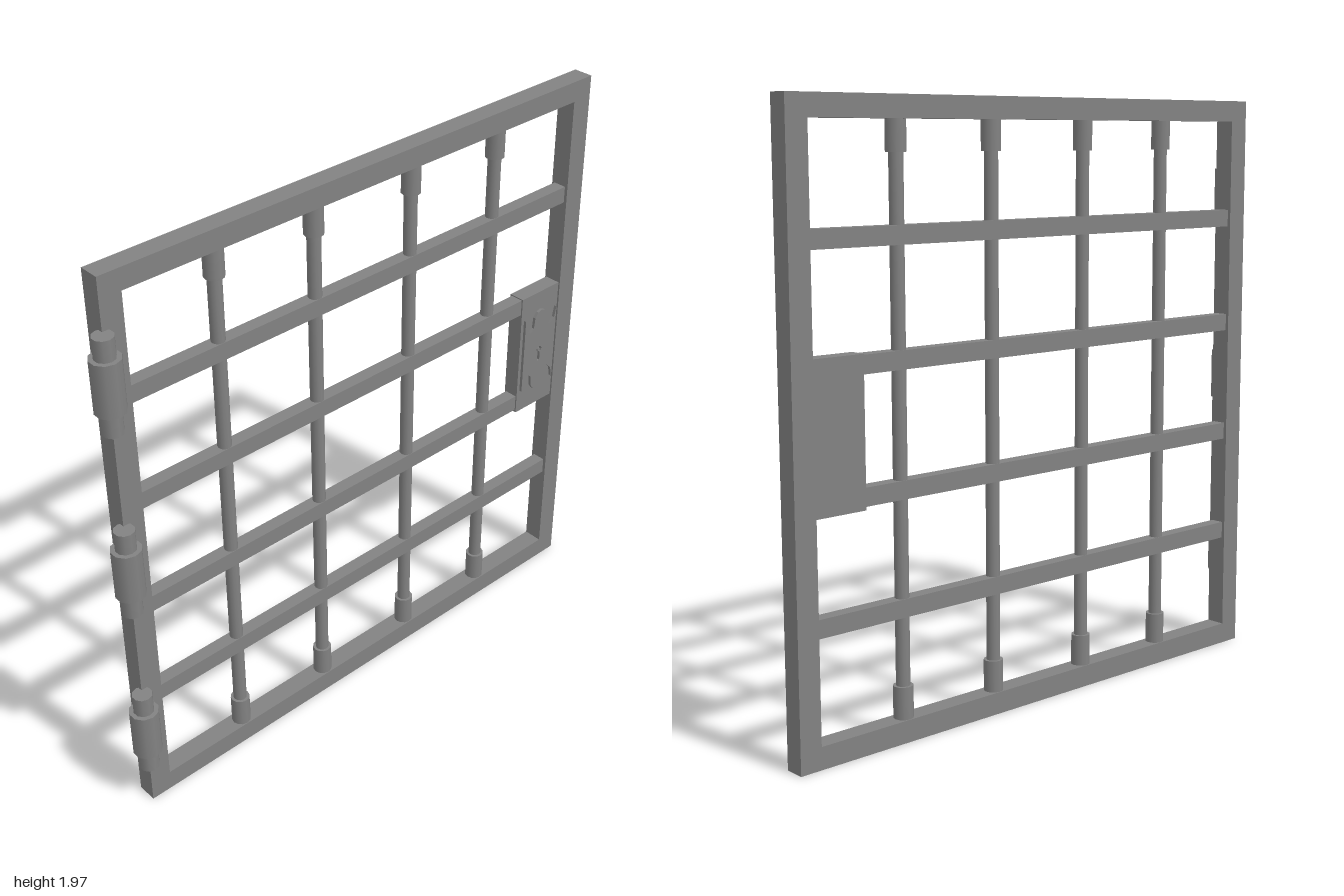
import * as THREE from 'three';

const material = new THREE.MeshStandardMaterial({ color: 0x828282 });

function add(parent, name, geometry, x = 0, y = 0, z = 0) {
  const mesh = new THREE.Mesh(geometry, material);
  mesh.name = name;
  mesh.position.set(x, y, z);
  parent.add(mesh);
  return mesh;
}

function rectangle(target, x0, y0, x1, y1) {
  target.moveTo(x0, y0);
  target.lineTo(x1, y0);
  target.lineTo(x1, y1);
  target.lineTo(x0, y1);
  target.closePath();
  return target;
}

const extrude = (shape, depth) =>
  new THREE.ExtrudeGeometry(shape, { depth, bevelEnabled: false, curveSegments: 6 });

// Thin plate with wavy top and bottom edges and a keyhole, centred on the origin
function escutcheonGeometry() {
  const edge = [[0.078, 0.145], [0.07, 0.105], [0.05, 0.086], [0.034, 0.1],
    [0.03, 0.14], [0.016, 0.158], [0, 0.163]];
  const half = [...edge, ...edge.slice(0, -1).reverse().map(([x, y]) => [-x, y])];
  const points = [...half, ...half.map(([x, y]) => [-x, -y])];
  const shape = new THREE.Shape(points.map(([x, y]) => new THREE.Vector2(x, y)));
  const keyhole = new THREE.Path();
  keyhole.moveTo(-0.006, -0.045);
  keyhole.lineTo(0.006, -0.045);
  keyhole.lineTo(0.006, -0.012);
  keyhole.absarc(0, 0, 0.0134, -1.1, Math.PI + 1.1, false);
  keyhole.lineTo(-0.006, -0.045);
  shape.holes.push(keyhole);
  return extrude(shape, 0.01);
}

export function createModel() {
  const gate = new THREE.Group();
  gate.name = 'barredGate';

  // Outer frame
  const frame = rectangle(new THREE.Shape(), -0.944, 0, 1, 1.965);
  frame.holes.push(rectangle(new THREE.Path(), -0.87, 0.072, 0.925, 1.895));
  add(gate, 'frame', extrude(frame, 0.068), 0, 0, -0.066);

  // Flat cross bars
  for (const y of [0.425, 0.793, 1.188, 1.558]) {
    add(gate, 'crossBar', new THREE.BoxGeometry(1.81, 0.058, 0.046), 0.028, y, -0.032);
  }

  // Round upright bars with a socket at each end
  for (const x of [-0.54, -0.171, 0.223, 0.593]) {
    const upright = new THREE.Group();
    upright.name = 'uprightBar';
    upright.position.set(x, 0, -0.032);
    add(upright, 'rod', new THREE.CylinderGeometry(0.0225, 0.0225, 1.83, 12), 0, 0.983);
    for (const y of [0.122, 1.853]) {
      add(upright, 'socket', new THREE.CylinderGeometry(0.032, 0.032, 0.108, 12), 0, y);
    }
    gate.add(upright);
  }

  // Lock box with keyhole plate and guide pin
  const lock = new THREE.Group();
  lock.name = 'lock';
  add(lock, 'lockBox', new THREE.BoxGeometry(0.188, 0.466, 0.057), 0.837, 0.988, -0.0325);
  add(lock, 'keyholePlate', escutcheonGeometry(), 0.834, 0.988, -0.004);
  add(lock, 'guidePin', new THREE.CylinderGeometry(0.006, 0.006, 0.01, 8), 0.834, 0.988, 0.001)
    .rotation.x = Math.PI / 2;
  gate.add(lock);

  // Hinges: thick barrel around a longer pin
  for (const y of [0.337, 0.988, 1.643]) {
    const hinge = new THREE.Group();
    hinge.name = 'hinge';
    hinge.position.set(-0.952, y, 0.016);
    add(hinge, 'barrel', new THREE.CylinderGeometry(0.048, 0.048, 0.172, 10));
    add(hinge, 'pin', new THREE.CylinderGeometry(0.033, 0.033, 0.313, 10), 0, -0.002);
    gate.add(hinge);
  }
  return gate;
}
